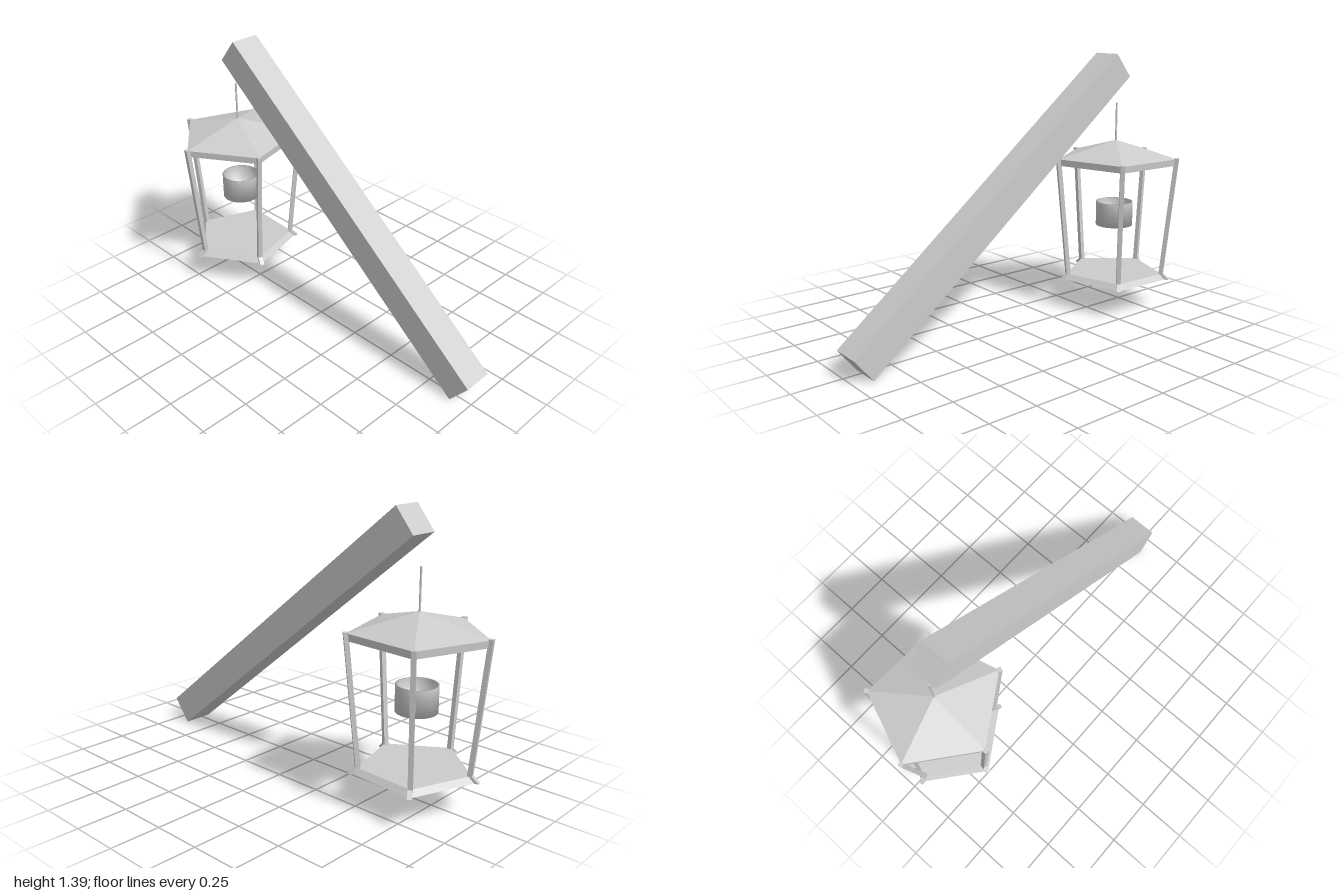
import * as THREE from 'three';

const flat = new THREE.MeshStandardMaterial({ color: 0xcccccc, flatShading: true });
const smooth = new THREE.MeshStandardMaterial({ color: 0xcccccc });

const SIDES = 5;
const START = THREE.MathUtils.degToRad(39.2); // angle of the first corner, from +x towards +z

function add(parent, name, geometry, material = flat) {
  const mesh = new THREE.Mesh(geometry, material);
  mesh.name = name;
  parent.add(mesh);
  return mesh;
}

// Solid of revolution from [radius, height] pairs, listed bottom to top on the outside
function turned(profile, segments, phiStart = 0) {
  const points = profile.map(([r, y]) => new THREE.Vector2(r, y));
  return new THREE.LatheGeometry(points, segments, phiStart);
}

// Leaning corner post that kicks outward into a foot
function postGeometry() {
  const geometry = new THREE.BoxGeometry(0.023, 2, 0.023, 1, 2, 1);
  const rows = { '1': [0.331, 0.84], '0': [0.268, 0.195], '-1': [0.301, 0.165] };
  const pos = geometry.attributes.position;
  for (let i = 0; i < pos.count; i++) {
    const [r, y] = rows[Math.round(pos.getY(i))];
    pos.setX(i, pos.getX(i) + r);
    pos.setY(i, y);
  }
  geometry.computeVertexNormals();
  return geometry;
}

export function createModel() {
  const model = new THREE.Group();
  model.name = 'hangingLantern';

  // Slanted square beam
  const beam = add(model, 'beam', new THREE.BoxGeometry(0.155, 0.155, 2.03));
  beam.position.set(0.033, 0.696, 0.16);
  beam.rotation.x = Math.atan2(1.267, 1.585);

  const lantern = new THREE.Group();
  lantern.name = 'lantern';
  lantern.position.set(0.03, 0, -0.67);
  model.add(lantern);

  // Pentagonal roof and floor
  const phi = Math.PI / 2 - START;
  add(lantern, 'roof', turned([[0, 0.8], [0.327, 0.8], [0.33, 0.835], [0, 0.925]], SIDES, phi));
  add(lantern, 'floor', turned([[0, 0.165], [0.3, 0.165], [0.272, 0.193], [0, 0.193]], SIDES, phi));

  // Corner posts
  const post = postGeometry();
  for (let i = 0; i < SIDES; i++) {
    add(lantern, 'post', post).rotation.y = -(START + (i * Math.PI * 2) / SIDES);
  }

  // Hanging rod above the roof
  const rod = add(lantern, 'hangingRod', new THREE.CylinderGeometry(0.005, 0.005, 0.21, 8), smooth);
  rod.position.y = 1.02;

  // Open candle cup
  const cup = [[0, 0.455], [0.1, 0.455], [0.1, 0.585], [0.092, 0.585], [0.092, 0.475], [0, 0.475]];
  add(lantern, 'candleCup', turned(cup, 32), smooth);

  return model;
}
